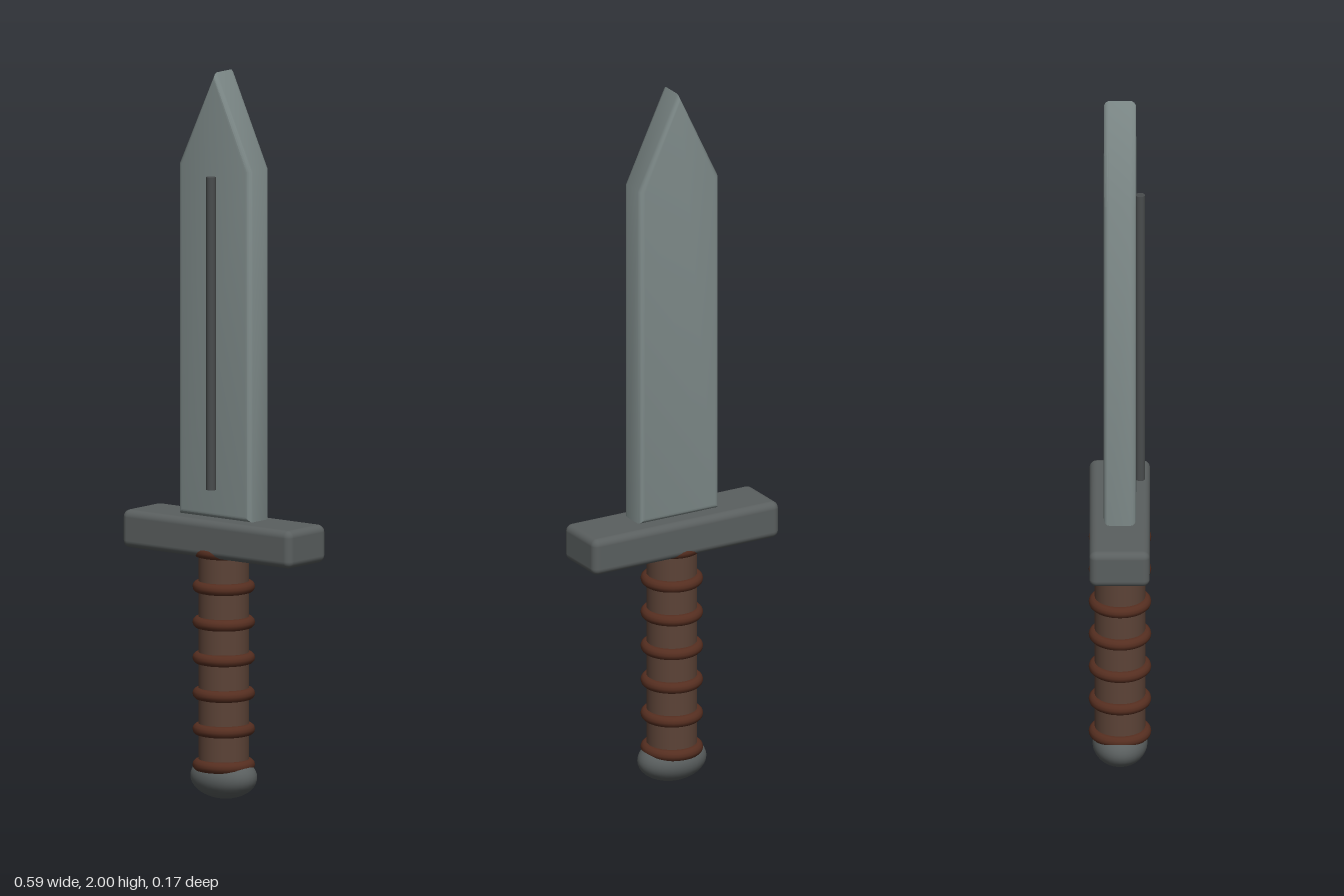
import * as THREE from 'three';
import { RoundedBoxGeometry } from 'three/addons/geometries/RoundedBoxGeometry.js';
import { toCreasedNormals } from 'three/addons/utils/BufferGeometryUtils.js';

const steel = new THREE.MeshStandardMaterial({ name: 'steel', color: 0x7d8988 });
const darkSteel = new THREE.MeshStandardMaterial({ name: 'darkSteel', color: 0x5a5f5f });
const grooveGrey = new THREE.MeshStandardMaterial({ name: 'grooveGrey', color: 0x494c4d });
const leather = new THREE.MeshStandardMaterial({ name: 'leather', color: 0x5c4337 });
const cord = new THREE.MeshStandardMaterial({ name: 'cord', color: 0x552e20 });

export function createModel() {
  const dagger = new THREE.Group();
  dagger.name = 'dagger';

  const add = (name, geometry, material, x, y, z) => {
    const mesh = new THREE.Mesh(geometry, material);
    mesh.name = name;
    mesh.position.set(x, y, z);
    dagger.add(mesh);
    return mesh;
  };

  // Blade: pointed outline with softly bevelled edges
  const outline = new THREE.Shape([
    [-0.125, 0.775], [0.125, 0.775], [0.125, 1.74], [0, 2], [-0.125, 1.74],
  ].map(([x, y]) => new THREE.Vector2(x, y)));
  const bevel = 0.015;
  const bladeGeometry = new THREE.ExtrudeGeometry(outline, {
    depth: 0.088 - 2 * bevel,
    bevelThickness: bevel,
    bevelSize: bevel,
    bevelOffset: -bevel,
    bevelSegments: 4,
  });
  add('blade', toCreasedNormals(bladeGeometry, 0.6), steel, 0, 0, -0.044 + bevel);

  // Raised rod along the front of the blade
  add('bladeRod', new THREE.CylinderGeometry(0.013, 0.013, 0.86, 20), grooveGrey, 0, 1.285, 0.055);

  // Crossguard
  add('crossguard', new RoundedBoxGeometry(0.588, 0.104, 0.164, 4, 0.02), darkSteel, 0, 0.721, -0.001);

  // Grip and its cord rings
  add('grip', new THREE.CylinderGeometry(0.069, 0.069, 0.6, 32), leather, 0, 0.385, 0);
  const ring = new THREE.TorusGeometry(0.069, 0.016, 12, 40);
  for (let i = 0; i < 7; i++) {
    add('gripRing', ring, cord, 0, 0.093 + i * 0.098, 0).rotation.x = Math.PI / 2;
  }

  // Flattened pommel
  add('pommel', new THREE.SphereGeometry(1, 32, 20), darkSteel, 0, 0.06, 0).scale.set(0.1, 0.06, 0.075);

  return dagger;
}
